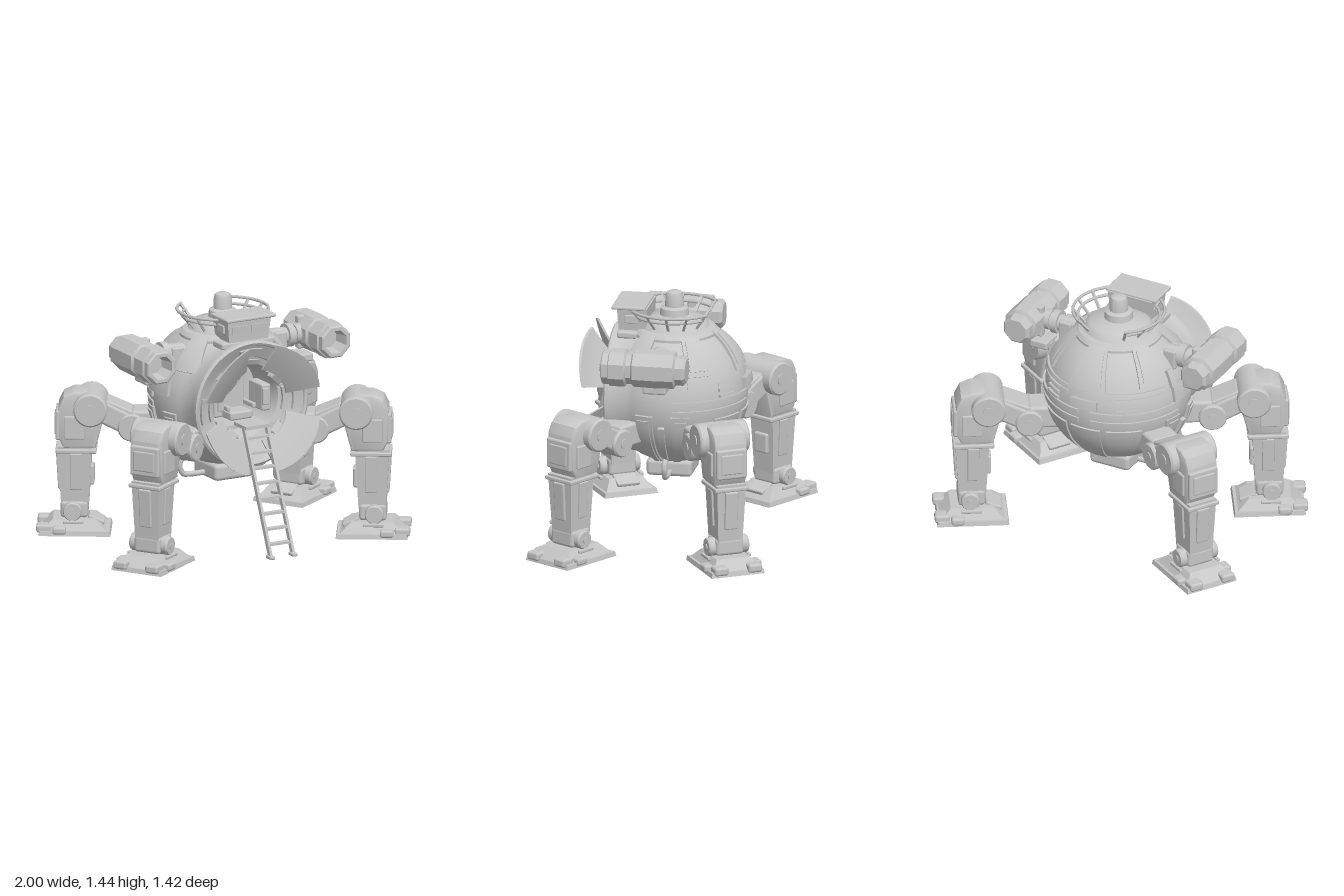
import * as THREE from 'three';
import { toCreasedNormals } from 'three/addons/utils/BufferGeometryUtils.js';
import { RoundedBoxGeometry } from 'three/addons/geometries/RoundedBoxGeometry.js';

const V = (x, y, z) => new THREE.Vector3(x, y, z);
const steel = new THREE.MeshStandardMaterial({ color: 0xc6c6c6, side: THREE.DoubleSide });
steel.name = 'steel grey';

function add(parent, name, geo, x = 0, y = 0, z = 0) {
  const m = new THREE.Mesh(geo, steel);
  m.name = name;
  m.position.set(x, y, z);
  parent.add(m);
  return m;
}
const box = (w, h, d) => new THREE.BoxGeometry(w, h, d);
const soft = (w, h, d, r = 0.012) => new RoundedBoxGeometry(w, h, d, 2, r);
// Box whose top face is scaled
function taper(w, h, d, sx, sz) {
  const g = box(w, h, d), p = g.attributes.position;
  for (let i = 0; i < p.count; i++)
    if (p.getY(i) > 0) p.setXYZ(i, p.getX(i) * sx, p.getY(i), p.getZ(i) * sz);
  g.computeVertexNormals();
  return g;
}
// Finely divided box bent by a rule
function bend(w, h, d, rule) {
  const g = new THREE.BoxGeometry(w, h, d, 10, 10, 1), p = g.attributes.position;
  for (let i = 0; i < p.count; i++) p.setXYZ(i, ...rule(p.getX(i), p.getY(i), p.getZ(i)));
  g.computeVertexNormals();
  return g;
}
const lathe = (pts, n = 48) =>
  toCreasedNormals(new THREE.LatheGeometry(pts.map(p => new THREE.Vector2(...p)), n), 0.5);
// Drum with its axis along z and a small hub on each end
function drum(parent, name, r, len, x, y) {
  const h = len / 2;
  add(parent, name, lathe([[0, -h - 0.006], [r * 0.35, -h - 0.006], [r * 0.35, -h], [r * 0.9, -h], [r, -h + 0.01],
    [r, h - 0.01], [r * 0.9, h], [r * 0.35, h], [r * 0.35, h + 0.006], [0, h + 0.006]], 28).rotateX(Math.PI / 2), x, y, 0);
}
// Square bar between two points
function bar(parent, name, a, b, w, d = w) {
  const m = add(parent, name, box(w, a.distanceTo(b), d));
  m.position.copy(a).lerp(b, 0.5);
  m.quaternion.setFromUnitVectors(V(0, 1, 0), b.clone().sub(a).normalize());
}

const C = V(0, 0.85, -0.015), R = 0.43, D = Math.PI / 180;
// Raised plate lying on the hull: azimuth from the front, elevation, and spans in degrees
function plate(parent, name, az, el, dAz, dEl, lift = 0.014, top = 1) {
  add(parent, name, bend(dAz * D, dEl * D, lift + 0.02, (a, e, t) => {
    const k = 1 + (top - 1) * (e / (dEl * D) + 0.5);
    const A = az * D + a * k, E = el * D + e, r = R + lift / 2 - 0.01 + t;
    return [C.x + r * Math.cos(E) * Math.sin(A), C.y + r * Math.sin(E), C.z + r * Math.cos(E) * Math.cos(A)];
  }));
}

function hull() {
  const g = new THREE.Group();
  g.name = 'hull';
  // Round shell with a blunt front and a hollow cabin
  const pts = [];
  for (let i = 0; i <= 24; i++) {
    const a = (-90 + i * 119 / 24) * D;
    pts.push([Math.max(0, R * Math.cos(a)), R * Math.sin(a)]);
  }
  pts.push([0.375, 0.31], [0.378, 0.32], [0.378, 0.345], [0.365, 0.355], [0.352, 0.348], [0.345, 0.325],
    [0.27, 0.285], [0.265, 0.27], [0.225, 0.255], [0.215, 0.22], [0.2, 0.02], [0, 0.02]);
  add(g, 'shell', lathe(pts, 56).rotateX(Math.PI / 2), C.x, C.y - 0.005, C.z);

  // Hull plating
  for (const s of [-1, 1]) {
    for (const az of [76, 105]) {
      plate(g, 'lowerPanel', s * az, -35, 11, 54, 0.016, 1.3);
      plate(g, 'lowerPanelInset', s * az, -35, 7, 47, 0.024, 1.3);
    }
    plate(g, 'sideRib', s * 90, -37, 5, 40, 0.024);
    plate(g, 'rearLowerPanel', s * 148, -30, 24, 36, 0.012, 1.2);
    plate(g, 'sidePanel', s * 90, 12, 28, 14, 0.02);
    for (const e of [-1, 1]) plate(g, 'sidePanelArm', s * (90 + e * 12), 24, 6, 14, 0.02);
    plate(g, 'upperPanel', s * 122, 40, 24, 34, 0.01);
    plate(g, 'upperPanelInset', s * 122, 40, 16, 26, 0.017);
    plate(g, 'frontUpperPanel', s * 62, 42, 24, 32, 0.012);
    plate(g, 'rearBand', s * 137, 19, 52, 3, 0.014);
    plate(g, 'rearBand', s * 137, 15, 52, 2, 0.01);
    plate(g, 'waistBand', s * 137, 2, 76, 4, 0.013);
    plate(g, 'waistBand', s * 137, -6, 76, 5, 0.01);
    for (let i = 0; i < 3; i++) plate(g, 'ventBar', s * 146, 6 + i * 4.5, 16, 2.2, 0.015);
  }
  plate(g, 'rearHatch', 180, 39, 34, 36, 0.012, 0.8);
  plate(g, 'rearHatchInset', 180, 39, 26, 28, 0.019, 0.8);
  plate(g, 'rearSill', 180, 10, 22, 7, 0.03);
  plate(g, 'rearKeel', 180, -34, 26, 44, 0.012);

  // Belly box and the pipes that feed it
  add(g, 'bellyBox', soft(0.26, 0.1, 0.27, 0.025), 0, 0.39, -0.005);
  add(g, 'bellyNeck', taper(0.18, 0.06, 0.2, 1.2, 1.2), 0, 0.44, -0.005);
  for (const s of [-1, 1]) {
    const path = new THREE.CatmullRomCurve3([[0.24, 0.5], [0.285, 0.46], [0.292, 0.425], [0.268, 0.378], [0.2, 0.37], [0.12, 0.37]]
      .map(p => V(s * p[0], p[1], -0.01)), false, 'catmullrom', 0.3);
    add(g, 'feedPipe', new THREE.TubeGeometry(path, 40, 0.017, 8));
  }
  return g;
}

function cabin() {
  const g = new THREE.Group();
  g.name = 'cabin';
  g.position.set(0, 0.835, 0);
  for (let i = 0; i < 4; i++) {
    // Opened door petals, tilted outwards, with their hinge blocks
    const dir = (45 + 90 * i) * D;
    add(g, 'doorPetal', bend(0.17, 62 * D, 0.014, (r, t, z) => {
      const q = 0.305 + r, u = (q * Math.cos(t) - 0.2) / 0.185;
      return [q * Math.cos(dir + t), q * Math.sin(dir + t), 0.36 + 0.155 * u - 0.03 * u * u + z];
    }));
    const hinge = new THREE.Group();
    hinge.name = 'petalHinge';
    hinge.rotation.z = dir;
    g.add(hinge);
    add(hinge, 'hingePlate', soft(0.08, 0.075, 0.02, 0.008), 0.225, 0, 0.368).rotation.y = -0.6;
    add(hinge, 'hingePin', new THREE.CylinderGeometry(0.012, 0.012, 0.1, 12), 0.2, 0, 0.345);
    add(hinge, 'hingeArm', box(0.04, 0.05, 0.1), 0.235, 0, 0.3);
    // Stepped lining between the petals
    for (const [r, w, a] of [[0.315, 0.05, 26], [0.25, 0.03, 34]])
      add(g, 'lining', bend(w, a * D, 0.02, (x, t, z) => {
        const q = r + x, A = 90 * i * D + t;
        return [q * Math.cos(A), q * Math.sin(A), 0.29 + (q - 0.27) * 0.5 + z];
      }));
  }
  // Seat and control consoles
  add(g, 'seatBack', soft(0.17, 0.26, 0.05), 0, 0.04, 0.07);
  add(g, 'seatCushion', soft(0.15, 0.05, 0.14), 0, -0.09, 0.14);
  add(g, 'headRest', soft(0.1, 0.06, 0.05), 0, 0.13, 0.1);
  add(g, 'floor', box(0.26, 0.02, 0.24), 0, -0.14, 0.13);
  for (const s of [-1, 1]) {
    add(g, 'armRest', soft(0.025, 0.03, 0.14, 0.008), s * 0.085, -0.04, 0.14);
    add(g, 'console', soft(0.06, 0.16, 0.16), s * 0.16, 0, 0.14);
    add(g, 'consoleScreen', soft(0.04, 0.1, 0.02, 0.006), s * 0.15, 0.01, 0.225);
  }
  return g;
}

function ladder() {
  const g = new THREE.Group();
  g.name = 'ladder';
  const at = (x, y) => V(x, y, 0.685 - 0.44 * y);
  for (const s of [-1, 1]) {
    bar(g, 'ladderRail', at(s * 0.075, 0.01), at(s * 0.075, 0.72), 0.016, 0.03);
    add(g, 'ladderFoot', soft(0.034, 0.022, 0.06, 0.008), s * 0.075, 0.011, 0.68);
  }
  for (let i = 0; i < 8; i++) {
    const p = at(0, 0.08 + i * 0.083);
    add(g, 'rung', box(0.14, 0.014, 0.035), p.x, p.y, p.z);
  }
  add(g, 'landing', box(0.16, 0.02, 0.14), 0, 0.72, 0.33);
  return g;
}

function turret() {
  const g = new THREE.Group();
  g.name = 'turret';
  g.position.z = -0.015;
  add(g, 'dome', lathe([[0.255, 1.17], [0.255, 1.205], [0.235, 1.225], [0.205, 1.232], [0.19, 1.255], [0.17, 1.272], [0.1, 1.29],
    [0.085, 1.295], [0.08, 1.335], [0.055, 1.345], [0.052, 1.41], [0.045, 1.428], [0.025, 1.437], [0, 1.437]]));
  // Hand rails on both sides
  for (const s of [0, 1]) {
    for (const [r, y] of [[0.268, 1.34], [0.24, 1.305]])
      add(g, 'handRail', new THREE.TorusGeometry(r, 0.009, 6, 24, 110 * D).rotateX(Math.PI / 2).rotateY((55 + 180 * s) * D), 0, y, 0);
    for (let i = 0; i < 5; i++) {
      const a = (-53 + i * 26.5 + 180 * s) * D;
      bar(g, 'railPost', V(0.19 * Math.cos(a), 1.245, 0.19 * Math.sin(a)), V(0.268 * Math.cos(a), 1.34, 0.268 * Math.sin(a)), 0.014);
    }
  }
  // Hood over the cabin
  add(g, 'hoodBody', taper(0.26, 0.15, 0.16, 1.12, 1.12), 0, 1.28, 0.225);
  add(g, 'hoodRoof', soft(0.33, 0.02, 0.2, 0.008), 0, 1.358, 0.245);
  for (const s of [-1, 1]) {
    add(g, 'hoodWindow', box(0.1, 0.05, 0.008), s * 0.065, 1.29, 0.312).rotation.x = 0.07;
    add(g, 'hoodSideBlock', soft(0.02, 0.05, 0.08, 0.006), s * 0.14, 1.29, 0.23);
  }
  add(g, 'hoodSill', soft(0.36, 0.04, 0.12), 0, 1.2, 0.25);
  return g;
}

// Octagonal side pod on its arm, pointing forwards
function sidePod(s) {
  const g = new THREE.Group();
  g.name = s > 0 ? 'leftPod' : 'rightPod';
  const pod = lathe([[0, -0.2], [0.07, -0.2], [0.085, -0.185], [0.085, -0.14], [0.105, -0.13], [0.108, 0.0], [0.105, 0.11],
    [0.092, 0.12], [0.092, 0.15], [0.108, 0.16], [0.108, 0.25], [0.098, 0.255], [0.098, 0.29], [0.09, 0.298],
    [0.07, 0.298], [0.055, 0.2], [0, 0.2]].map(p => [p[0] * 1.04, p[1]]), 8);
  add(g, 'podBarrel', pod.rotateY(Math.PI / 8).rotateX(Math.PI / 2), s * 0.585, 1.13, 0);
  add(g, 'podBand', soft(0.14, 0.2, 0.05), s * 0.565, 1.13, -0.02);
  for (const [r, x, w] of [[0.05, 0.41, 0.24], [0.07, 0.42, 0.04], [0.06, 0.475, 0.04]])
    add(g, 'podArm', new THREE.CylinderGeometry(r, r, w, 20).rotateZ(Math.PI / 2), s * x, 1.13, 0.015);
  add(g, 'podBracket', soft(0.08, 0.12, 0.12), s * 0.345, 1.11, 0.015);
  add(g, 'sensorBox', soft(0.115, 0.05, 0.14), s * 0.505, 0.99, 0);
  add(g, 'sensorArm', box(0.1, 0.02, 0.06), s * 0.43, 0.985, 0);
  return g;
}

// Leg built along +x, bending in the x-y plane
function leg(angle) {
  const g = new THREE.Group();
  g.name = 'leg';
  g.rotation.y = angle;
  add(g, 'hipMount', soft(0.2, 0.14, 0.18, 0.02), 0.44, 0.67, 0);
  drum(g, 'hipDrum', 0.082, 0.23, 0.535, 0.643);
  add(g, 'thigh', soft(0.27, 0.13, 0.19, 0.02), 0.655, 0.705, 0).rotation.z = 0.46;
  add(g, 'thighPlate', soft(0.17, 0.03, 0.17), 0.61, 0.755, 0).rotation.z = 0.4;
  drum(g, 'kneeDrum', 0.1, 0.31, 0.775, 0.755);

  // Rounded knee housing
  const side = new THREE.Shape([[0.76, 0.53], [0.72, 0.68], [0.71, 0.79], [0.74, 0.822], [0.79, 0.835], [0.87, 0.832],
    [0.92, 0.81], [0.945, 0.76], [0.945, 0.58], [0.92, 0.53]].map(p => new THREE.Vector2(...p)));
  const house = new THREE.ExtrudeGeometry(side, { depth: 0.165, bevelSize: 0.018, bevelThickness: 0.02, bevelSegments: 2 });
  add(g, 'kneeHousing', toCreasedNormals(house.translate(0, 0, -0.0825), 0.5));
  add(g, 'kneeGuard', soft(0.03, 0.18, 0.19), 0.965, 0.65, 0);
  add(g, 'kneeGuardInset', soft(0.02, 0.12, 0.14, 0.008), 0.977, 0.65, 0);
  for (const s of [-1, 1]) add(g, 'kneeSidePlate', soft(0.12, 0.14, 0.02, 0.008), 0.87, 0.64, s * 0.104);

  // Shin with collar and guards
  add(g, 'shinCollar', soft(0.24, 0.025, 0.21, 0.008), 0.86, 0.495, 0);
  add(g, 'shin', taper(0.16, 0.36, 0.15, 1.25, 1.2), 0.867, 0.34, 0);
  add(g, 'shinGuard', soft(0.02, 0.23, 0.08, 0.008), 0.962, 0.365, 0).rotation.z = -0.06;
  add(g, 'calfBlock', soft(0.03, 0.12, 0.1), 0.77, 0.34, 0);
  for (const s of [-1, 1]) add(g, 'shinSidePlate', soft(0.07, 0.22, 0.016, 0.006), 0.86, 0.37, s * 0.087).rotation.x = s * 0.045;

  // Ankle and foot
  drum(g, 'ankleDrum', 0.055, 0.25, 0.88, 0.135);
  add(g, 'ankle', soft(0.16, 0.1, 0.17, 0.02), 0.87, 0.14, 0);
  add(g, 'sole', taper(0.42, 0.028, 0.33, 0.97, 0.97), 0.866, 0.014, 0);
  add(g, 'footPad', taper(0.38, 0.06, 0.29, 0.66, 0.72), 0.87, 0.057, 0);
  add(g, 'instep', soft(0.1, 0.025, 0.14, 0.008), 0.742, 0.075, 0).rotation.z = 0.4;
  for (const s of [-1, 1]) {
    add(g, 'toe', soft(0.09, 0.05, 0.085, 0.015), 1.045, 0.037, s * 0.105);
    add(g, 'sideToe', soft(0.08, 0.045, 0.06, 0.015), 0.955, 0.034, s * 0.15);
    add(g, 'footSideBar', soft(0.12, 0.02, 0.02, 0.006), 0.875, 0.075, s * 0.125);
  }
  return g;
}

export function createModel() {
  const model = new THREE.Group();
  model.name = 'walker';
  model.add(hull(), cabin(), ladder(), turret(), sidePod(1), sidePod(-1));
  for (const a of [31.9, -31.9, 148.1, -148.1]) model.add(leg(a * D));
  return model;
}
